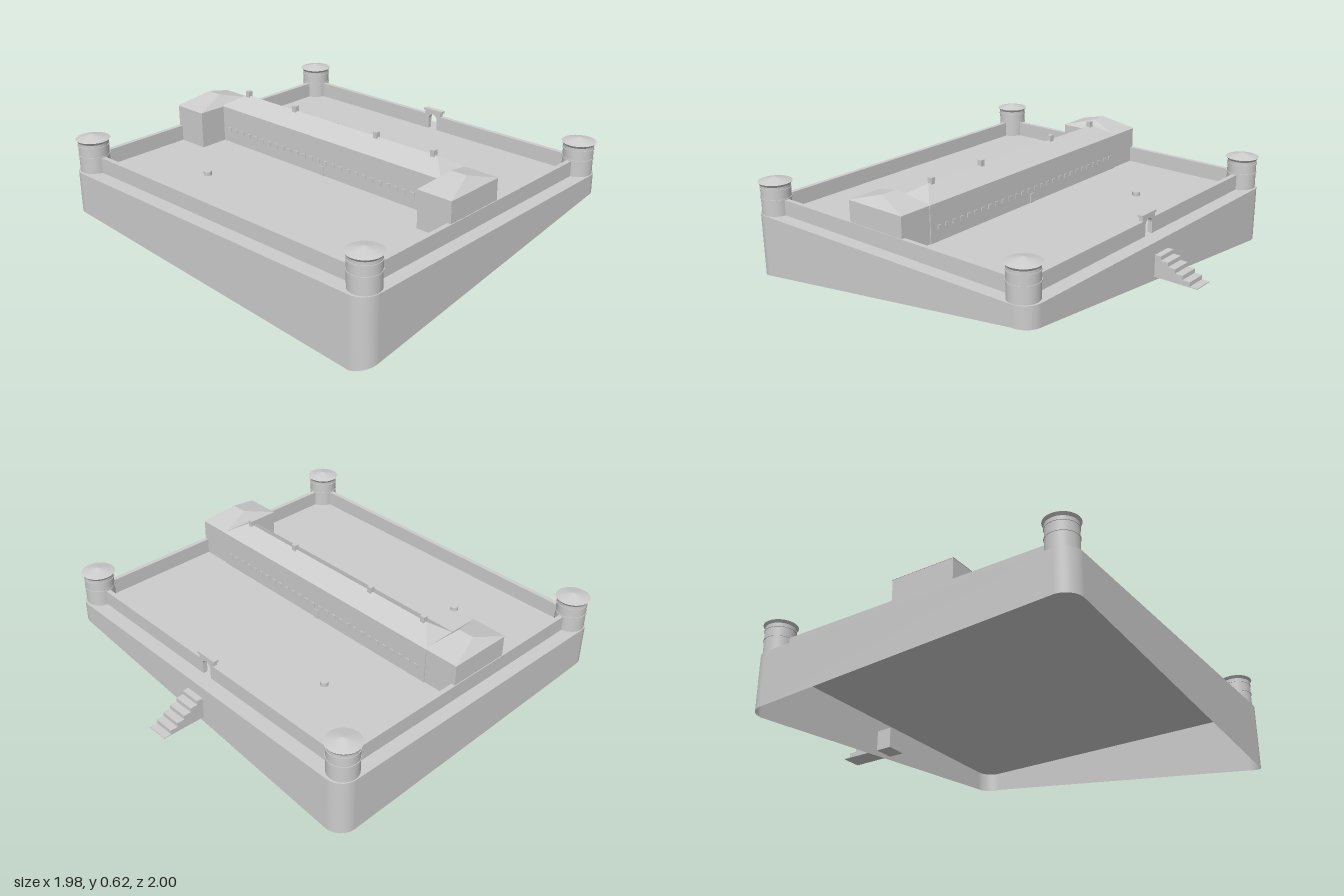
import * as THREE from 'three';

const stone = new THREE.MeshStandardMaterial({ color: 0xcccccc, side: THREE.DoubleSide });
stone.name = 'stone';

const GROUND = 0.35, WALL_TOP = 0.43, EAVE = 0.54;
const CX = 0.895, Z_BACK = -0.68, Z_FRONT = 0.91, R = 0.088;

export function createModel() {
  const model = new THREE.Group();

  const add = (name, geometry, x = 0, y = 0, z = 0) => {
    const mesh = new THREE.Mesh(geometry, stone);
    mesh.name = name;
    mesh.position.set(x, y, z);
    model.add(mesh);
    return mesh;
  };
  // Box given by its limits
  const block = (name, x0, x1, y0, y1, z0, z1) =>
    add(name, new THREE.BoxGeometry(x1 - x0, y1 - y0, z1 - z0),
      (x0 + x1) / 2, (y0 + y1) / 2, (z0 + z1) / 2);
  // Hipped roof: a box whose top is drawn in to a ridge along x
  const hipRoof = (name, x0, x1, z0, z1, y0, y1, ridge0, ridge1, ridgeZ) => {
    const g = new THREE.BoxGeometry(1, 1, 1).toNonIndexed();
    const p = g.attributes.position;
    for (let i = 0; i < p.count; i++) {
      const right = p.getX(i) > 0, top = p.getY(i) > 0, front = p.getZ(i) > 0;
      p.setXYZ(i,
        top ? (right ? ridge1 : ridge0) : (right ? x1 : x0),
        top ? y1 : y0,
        top ? ridgeZ : (front ? z1 : z0));
    }
    g.computeVertexNormals();
    return add(name, g);
  };

  // Terrace outline with rounded corners; each corner has the skirt's lower
  // height where its arc begins and ends
  const corners = [
    [CX, Z_FRONT, 0.0, 0.03],
    [CX, Z_BACK, 0.245, 0.24],
    [-CX, Z_BACK, 0.06, 0.062],
    [-CX, Z_FRONT, 0.137, 0.135],
  ];
  const outline = [];
  const ARC = 10;
  corners.forEach(([cx, cz, h0, h1], c) => {
    for (let i = 0; i <= ARC; i++) {
      const a = (c + i / ARC) * Math.PI / 2;
      const nx = Math.sin(a), nz = Math.cos(a);
      outline.push({ x: cx + R * nx, z: cz + R * nz, nx, nz, h: h0 + (h1 - h0) * i / ARC });
    }
  });

  // Open skirt wall down to the sloping ground, and the flat terrace on top
  const skirtPos = [], skirtNor = [], skirtIdx = [];
  const topPos = [0, GROUND, 0.115], topNor = [0, 1, 0], topIdx = [];
  const n = outline.length;
  outline.forEach((p, i) => {
    const j = (i + 1) % n;
    skirtPos.push(p.x, p.h, p.z, p.x, GROUND, p.z);
    skirtNor.push(p.nx, 0, p.nz, p.nx, 0, p.nz);
    skirtIdx.push(2 * i, 2 * j, 2 * j + 1, 2 * i, 2 * j + 1, 2 * i + 1);
    topPos.push(p.x, GROUND, p.z);
    topNor.push(0, 1, 0);
    topIdx.push(0, i + 1, j + 1);
  });
  const surface = (pos, nor, idx) => {
    const g = new THREE.BufferGeometry();
    g.setAttribute('position', new THREE.Float32BufferAttribute(pos, 3));
    g.setAttribute('normal', new THREE.Float32BufferAttribute(nor, 3));
    g.setIndex(idx);
    return g;
  };
  add('terraceSkirt', surface(skirtPos, skirtNor, skirtIdx));
  add('terraceTop', surface(topPos, topNor, topIdx));

  // Enclosing walls, with a gap at the back for the gate
  const T = 0.012;
  for (const s of [-1, 1]) {
    block('sideWall', s * 0.9 - T, s * 0.9 + T, GROUND, WALL_TOP, Z_BACK, Z_FRONT);
    block('backWall', s > 0 ? 0.045 : -CX, s > 0 ? CX : -0.045, GROUND, WALL_TOP, Z_BACK - T, Z_BACK + T);
  }
  block('frontWall', -CX, CX, GROUND, WALL_TOP, Z_FRONT - T, Z_FRONT + T);

  // Arched gate
  const arch = new THREE.Shape();
  arch.moveTo(-0.05, 0);
  arch.lineTo(-0.028, 0);
  arch.lineTo(-0.028, 0.055);
  arch.absarc(0, 0.055, 0.028, Math.PI, 0, true);
  arch.lineTo(0.028, 0);
  arch.lineTo(0.05, 0);
  arch.lineTo(0.05, 0.1);
  arch.lineTo(-0.05, 0.1);
  add('gateArch', new THREE.ExtrudeGeometry(arch, { depth: 0.024, bevelEnabled: false, curveSegments: 12 }),
    0, GROUND, Z_BACK - T);
  block('gateCornice', -0.06, 0.06, GROUND + 0.1, GROUND + 0.112, Z_BACK - 0.014, Z_BACK + 0.014);

  // Stairs climbing to the back of the terrace
  const steps = new THREE.Shape();
  const DEPTH = 0.04, RISE = 0.0215, FOOT = 0.175;
  steps.moveTo(0.68, FOOT);
  steps.lineTo(1.0, FOOT);
  for (let i = 0; i < 6; i++) {
    const z = 1.0 - i * DEPTH, y = FOOT + 0.004 + i * RISE;
    steps.lineTo(z, y);
    steps.lineTo(i < 5 ? z - DEPTH : 0.68, y);
  }
  const stairs = add('stairs', new THREE.ExtrudeGeometry(steps, { depth: 0.11, bevelEnabled: false }), -0.055, 0, 0);
  stairs.rotation.y = Math.PI / 2;

  // Corner towers
  for (const x of [-0.903, 0.903]) for (const z of [Z_BACK, Z_FRONT]) {
    add('towerBody', new THREE.CylinderGeometry(0.075, 0.075, 0.155, 32), x, GROUND + 0.0775, z);
    for (const y of [0.432, 0.482])
      add('towerBand', new THREE.CylinderGeometry(0.078, 0.078, 0.006, 32), x, y, z);
    add('towerEave', new THREE.CylinderGeometry(0.085, 0.075, 0.013, 32), x, 0.5065, z);
    add('towerRoof', new THREE.ConeGeometry(0.085, 0.022, 32), x, 0.524, z);
  }

  // Long central building
  block('mainBuilding', -0.73, 0.73, GROUND, EAVE, 0.015, 0.21);
  hipRoof('mainRoof', -0.735, 0.735, 0.015, 0.21, EAVE, 0.6, -0.635, 0.635, 0.115);
  for (const x of [-0.62, -0.275, 0.27, 0.615])
    block('chimney', x - 0.012, x + 0.012, 0.58, 0.625, 0.103, 0.127);

  // End pavilions
  for (const s of [-1, 1]) {
    const c = s * 0.815;
    block('pavilion', c - 0.093, c + 0.093, GROUND, EAVE, 0.02, 0.36);
    hipRoof('pavilionRoof', c - 0.095, c + 0.095, 0.016, 0.363, EAVE, 0.59, c - 0.042, c + 0.042, 0.19);
  }

  // Window plates and doors on both long sides
  for (const z of [0.012, 0.213]) {
    for (let i = 0; i < 28; i++) {
      const x = -0.675 + i * 0.05;
      block('window', x - 0.011, x + 0.011, 0.41, 0.432, z - 0.002, z + 0.002);
    }
    block('door', -0.015, 0.015, GROUND, 0.4, z - 0.002, z + 0.002);
  }

  // Courtyard wells
  for (const z of [-0.335, 0.585])
    add('well', new THREE.CylinderGeometry(0.02, 0.02, 0.02, 20), -0.425, GROUND + 0.01, z);

  return model;
}
